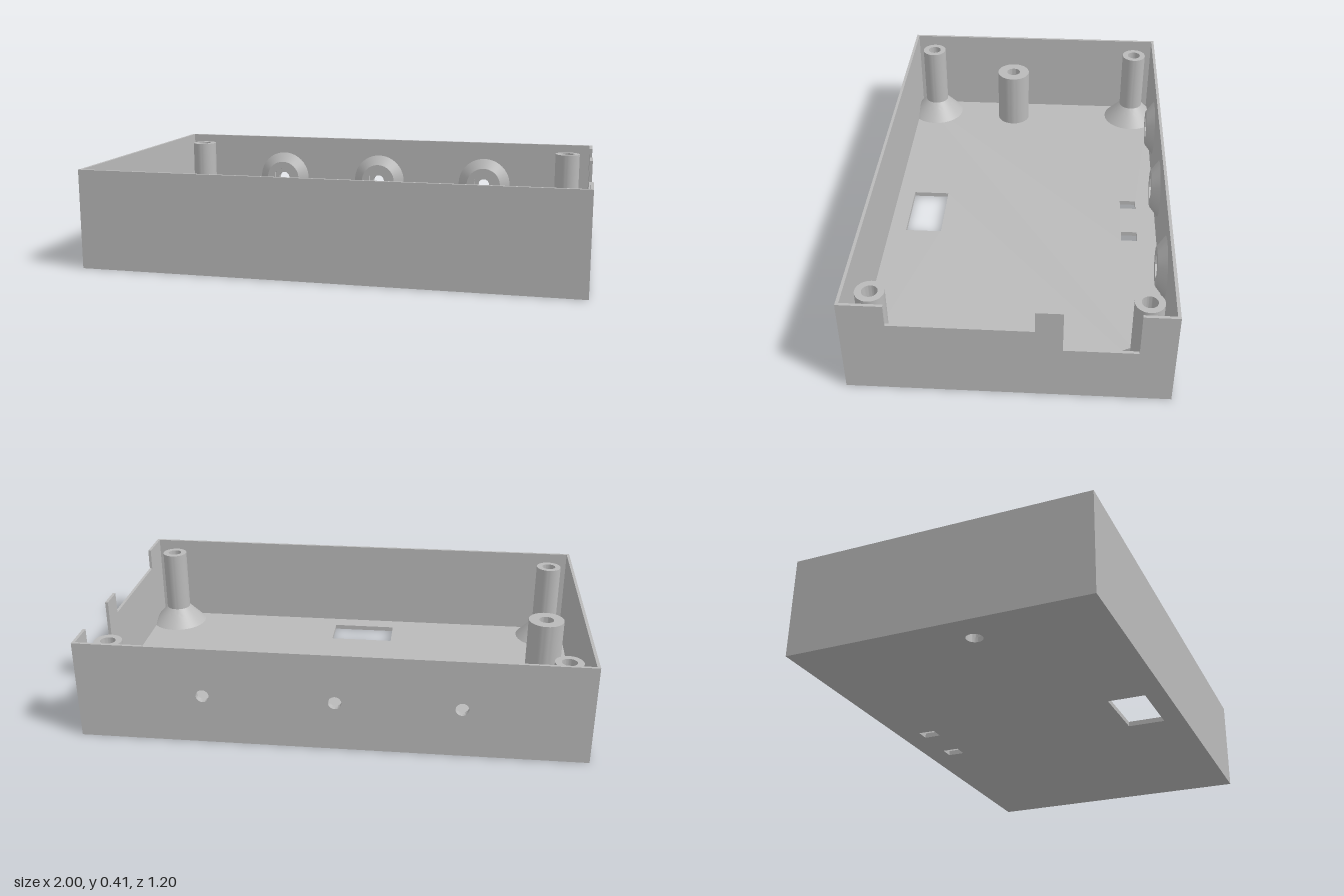
import * as THREE from 'three';
import { toCreasedNormals } from 'three/addons/utils/BufferGeometryUtils.js';

const H = 0.405, FLOOR = 0.02, WALL = 0.012;
const grey = new THREE.MeshStandardMaterial({ color: 0xbababa });
grey.name = 'grey plastic';

function createMesh(name, geo, parent) {
  const m = new THREE.Mesh(geo, grey);
  m.name = name;
  parent.add(m);
  return m;
}

function polygon(points, Type = THREE.Shape) {
  return new Type(points.map(([x, y]) => new THREE.Vector2(x, y)));
}

function rect(x0, y0, x1, y1, Type = THREE.Shape) {
  return polygon([[x0, y0], [x1, y0], [x1, y1], [x0, y1]], Type);
}

function circle(x, y, r, Type = THREE.Path) {
  return new Type().absarc(x, y, r, 0, Math.PI * 2, false);
}

function extrude(shape, depth) {
  const g = new THREE.ExtrudeGeometry(shape, { depth, bevelEnabled: false, curveSegments: 24 });
  return toCreasedNormals(g, 0.6);
}

function lathe(points) {
  return new THREE.LatheGeometry(points.map(([r, y]) => new THREE.Vector2(r, y)), 48);
}

// Screw post with a flared foot, trimmed where it meets the walls
function screwPost(x, z, trimmed) {
  const foot = 0.1, profile = [];
  for (let i = 0; i <= 10; i++) {
    const t = i / 10;
    profile.push([0.13 - 0.075 * t, FLOOR - 0.002 + (foot - FLOOR) * t]);
  }
  profile.push([0.055, 0.375], [0.03, 0.375], [0.03, 0.25], [0, 0.25]);
  const geo = lathe(profile).translate(x, 0, z);
  const p = geo.attributes.position;
  for (let i = 0; i < p.count; i++) {
    const y = p.getY(i);
    let pz = THREE.MathUtils.clamp(p.getZ(i), -0.594, 0.594);
    // sloping cut across the foot beside the cable opening
    if (trimmed && y < foot) pz = Math.min(pz, -0.39 - (y - FLOOR) * 0.7);
    p.setX(i, THREE.MathUtils.clamp(p.getX(i), -0.994, 0.994));
    p.setZ(i, pz);
  }
  return toCreasedNormals(geo, 0.5);
}

// Conical boss with a hexagonal nut pocket, facing +z from the back wall
function nutBoss() {
  const g = new THREE.Group();
  const depth = 0.035;
  const cone = new THREE.CylinderGeometry(0.08, 0.123, depth, 48, 1, true);
  cone.rotateX(Math.PI / 2).translate(0, 0, depth / 2);
  createMesh('bossCone', cone, g);

  const base = circle(0, 0, 0.08, THREE.Shape);
  base.holes.push(circle(0, 0, 0.026));
  createMesh('pocketFloor', extrude(base, 0.014), g);

  const face = circle(0, 0, 0.08, THREE.Shape);
  const hex = [];
  for (let i = 0; i < 6; i++) {
    const a = (i + 0.5) * Math.PI / 3;
    hex.push([0.05 * Math.cos(a), 0.05 * Math.sin(a)]);
  }
  face.holes.push(polygon(hex, THREE.Path));
  createMesh('nutPocket', extrude(face, depth - 0.014), g).position.z = 0.014;
  return g;
}

export function createModel() {
  const model = new THREE.Group();
  model.name = 'enclosureBase';

  // Floor with its openings (drawn with y = -z, then laid flat)
  const floor = rect(-1, -0.6, 1, 0.6);
  floor.holes.push(
    rect(-0.175, -0.515, 0.105, -0.36, THREE.Path),
    rect(-0.163, 0.435, -0.107, 0.505, THREE.Path),
    rect(0.063, 0.435, 0.122, 0.505, THREE.Path),
    circle(-0.868, -0.1, 0.032));
  createMesh('floor', extrude(floor, FLOOR).rotateX(-Math.PI / 2), model);

  // Plain front and left walls
  const h = H - FLOOR, midY = FLOOR + h / 2;
  createMesh('frontWall', new THREE.BoxGeometry(2, h, WALL), model)
    .position.set(0, midY, 0.6 - WALL / 2);
  createMesh('leftSideWall', new THREE.BoxGeometry(WALL, h, 1.2 - 2 * WALL), model)
    .position.set(-1 + WALL / 2, midY, 0);

  // Back wall with three screw holes and nut bosses
  const bossX = [-0.507, -0.02, 0.498], bossY = 0.203;
  const back = rect(-1, FLOOR, 1, H);
  bossX.forEach((x) => back.holes.push(circle(x, bossY, 0.026)));
  createMesh('backWall', extrude(back, WALL), model).position.z = -0.6;
  bossX.forEach((x) => {
    const boss = nutBoss();
    boss.name = 'nutBoss';
    boss.position.set(x, bossY, -0.6 + WALL);
    model.add(boss);
  });

  // Notched side wall, outlined in z and y
  const end = 0.6 - WALL;
  const side = polygon([
    [-end, FLOOR], [end, FLOOR], [end, H], [0.432, H], [0.432, 0.315], [-0.098, 0.315],
    [-0.098, H], [-0.198, H], [-0.198, 0.228], [-0.469, 0.228], [-0.469, H], [-end, H]]);
  createMesh('notchedSideWall', extrude(side, WALL).rotateY(-Math.PI / 2), model).position.x = 1;

  // Corner screw posts
  for (const x of [-0.9, 0.89]) {
    for (const z of [-0.5, 0.5]) {
      createMesh('screwPost', screwPost(x, z, x > 0 && z < 0), model);
    }
  }

  // Short hollow post over the round floor hole
  const tube = lathe([[0.077, FLOOR], [0.077, 0.28], [0.032, 0.28], [0.032, FLOOR]]);
  createMesh('hollowPost', toCreasedNormals(tube, 0.5), model).position.set(-0.868, 0, 0.1);

  return model;
}
